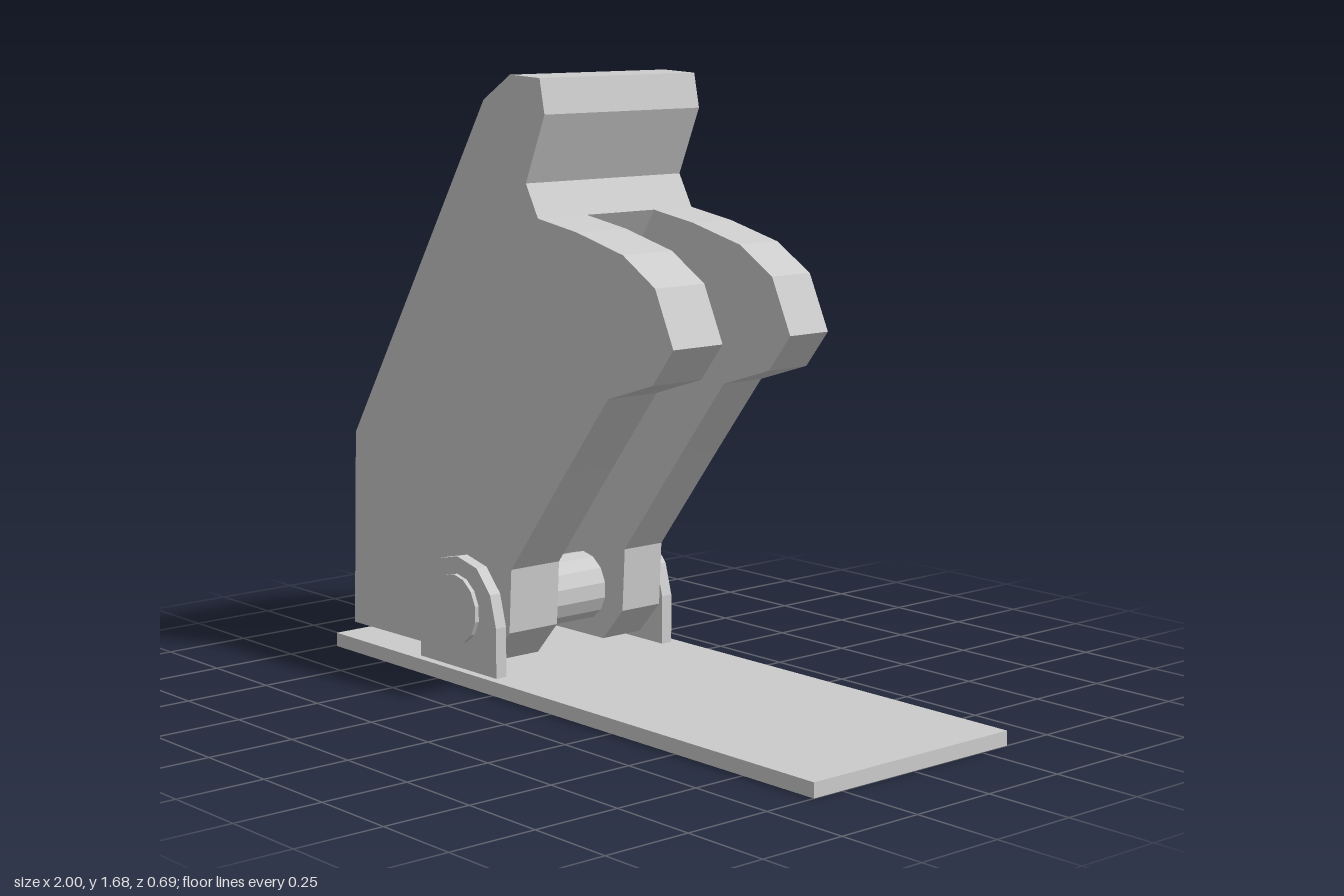
import * as THREE from 'three';

const material = new THREE.MeshStandardMaterial({ color: 0xcccccc, flatShading: true });

// Extrudes an outline in the XY plane between two z positions.
function slab(name, points, z0, z1) {
  const shape = new THREE.Shape(points.map(([x, y]) => new THREE.Vector2(x, y)));
  const geometry = new THREE.ExtrudeGeometry(shape, { depth: z1 - z0, bevelEnabled: false });
  geometry.translate(0, 0, z0);
  const mesh = new THREE.Mesh(geometry, material);
  mesh.name = name;
  return mesh;
}

export function createModel() {
  const group = new THREE.Group();
  group.name = 'hingedCover';

  // Base plate
  const plate = new THREE.Mesh(new THREE.BoxGeometry(1.99, 0.04, 0.69), material);
  plate.position.set(0.005, 0.02, 0);
  plate.name = 'basePlate';
  group.add(plate);

  // Cover outline: back and top lip, shared by the cheeks and the core
  const back = [
    [-0.13, 1.31], [-0.18, 1.4], [-0.1, 1.585], [-0.12, 1.68], [-0.245, 1.685],
    [-0.36, 1.615], [-0.98, 0.63], [-1, 0.06],
  ];
  // Front edge of each cheek, from the bottom up
  const front = [
    [-0.35, 0.065], [-0.265, 0.16], [-0.255, 0.34], [-0.02, 0.64], [0.155, 0.86],
    [0.33, 0.915], [0.41, 1.015], [0.34, 1.165], [0.215, 1.24], [0.03, 1.285],
  ];

  // Two cheeks with an open slot between them, closed behind by the sloped core
  const cover = new THREE.Group();
  cover.name = 'cover';
  cover.add(
    slab('leftCheek', [...back, ...front], 0.105, 0.273),
    slab('rightCheek', [...back, ...front], -0.273, -0.135),
    slab('coverCore', [...back, [-0.9, 0.06]], -0.135, 0.105),
  );
  group.add(cover);

  // Hinge ears with faceted round tops
  const ear = [
    [-0.61, 0.04], [-0.265, 0.04], [-0.265, 0.18], [-0.29, 0.27], [-0.35, 0.335],
    [-0.437, 0.355], [-0.525, 0.335], [-0.585, 0.27], [-0.61, 0.18],
  ];
  group.add(slab('leftHingeEar', ear, 0.285, 0.32), slab('rightHingeEar', ear, -0.32, -0.285));

  // Hinge pin through both ears
  const pin = new THREE.Mesh(new THREE.CylinderGeometry(0.098, 0.098, 0.665, 14), material);
  pin.rotation.x = Math.PI / 2;
  pin.position.set(-0.437, 0.208, 0);
  pin.name = 'hingePin';
  group.add(pin);

  return group;
}
